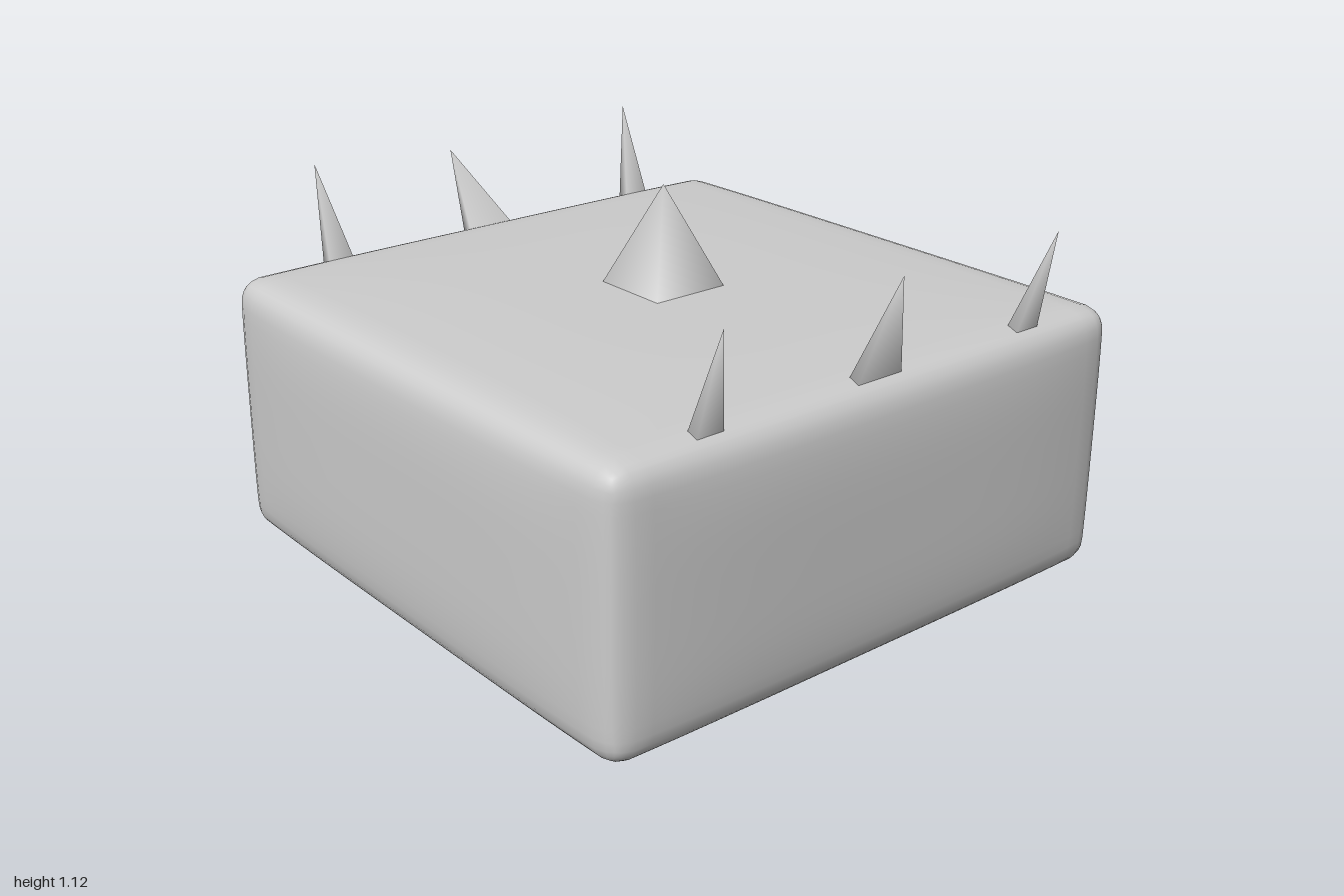
import * as THREE from 'three';
import { mergeVertices } from 'three/addons/utils/BufferGeometryUtils.js';

const material = new THREE.MeshStandardMaterial({ color: 0xcccccc });
const CENTRE = new THREE.Vector3(0, 0.415, 0.08);

// Weld shared corners and shade smoothly
function smooth(geometry) {
  geometry.deleteAttribute('uv');
  geometry.deleteAttribute('normal');
  const welded = mergeVertices(geometry, 1e-5);
  welded.computeVertexNormals();
  return welded;
}

// Soft block: rounded edges and slightly bulging faces
function bodyGeometry() {
  const half = new THREE.Vector3(0.885, 0.393, 0.885);
  const radius = 0.07;
  const bulge = 0.03, bulgeY = 0.022;
  const geometry = new THREE.BoxGeometry(2, 2, 2, 24, 24, 24);
  const pos = geometry.attributes.position;
  const inner = half.clone().subScalar(radius);
  const p = new THREE.Vector3(), core = new THREE.Vector3();
  const fall = (t) => 1 - t ** 4;
  for (let i = 0; i < pos.count; i++) {
    p.fromBufferAttribute(pos, i);
    // gather the grid lines near the edges
    p.set(...p.toArray().map((t) => Math.sin(t * Math.PI / 2))).multiply(half);
    core.copy(p).clamp(inner.clone().negate(), inner);
    p.sub(core).setLength(radius).add(core);
    const u = p.clone().divide(half);
    p.x += bulge * u.x * fall(u.y) * fall(u.z);
    p.y += bulgeY * u.y * fall(u.x) * fall(u.z);
    p.z += bulge * u.z * fall(u.x) * fall(u.y);
    pos.setXYZ(i, p.x, p.y, p.z);
  }
  return smooth(geometry);
}

// Four-sided spike from a rectangular base, leaning to its tip
function spike(name, base, halfX, halfZ, tip) {
  const geometry = new THREE.ConeGeometry(Math.SQRT2, 1, 4, 1, true);
  geometry.rotateY(Math.PI / 4).translate(0, 0.5, 0);
  const pos = geometry.attributes.position;
  for (let i = 0; i < pos.count; i++) {
    const t = pos.getY(i);
    pos.setXYZ(i,
      THREE.MathUtils.lerp(base[0], tip[0], t) + pos.getX(i) * halfX,
      THREE.MathUtils.lerp(base[1], tip[1], t),
      THREE.MathUtils.lerp(base[2], tip[2], t) + pos.getZ(i) * halfZ);
  }
  const mesh = new THREE.Mesh(smooth(geometry), material);
  mesh.name = name;
  return mesh;
}

export function createModel() {
  const model = new THREE.Group();
  model.name = 'spikedBlock';

  const body = new THREE.Mesh(bodyGeometry(), material);
  body.name = 'body';
  body.position.copy(CENTRE);
  model.add(body);

  // Large spike in the middle of the top
  model.add(spike('centreSpike', [0, 0.82, 0.08], 0.125, 0.125, [0, 1.12, 0.08]));

  // Middle spikes of the front and back rows
  model.add(spike('frontMiddleSpike', [0, 0.79, 0.905], 0.08, 0.02, [0, 1.09, 0.99]));
  model.add(spike('backMiddleSpike', [0, 0.79, -0.785], 0.08, 0.02, [0, 1.0, -0.99]));

  // Outer spikes of both rows
  for (const [side, s] of [['Left', 1], ['Right', -1]]) {
    model.add(spike(`front${side}Spike`, [0.56 * s, 0.79, 0.905], 0.043, 0.02, [0.58 * s, 1.09, 0.99]));
    model.add(spike(`back${side}Spike`, [0.56 * s, 0.79, -0.75], 0.043, 0.02, [0.58 * s, 1.085, -0.83]));
  }
  return model;
}
